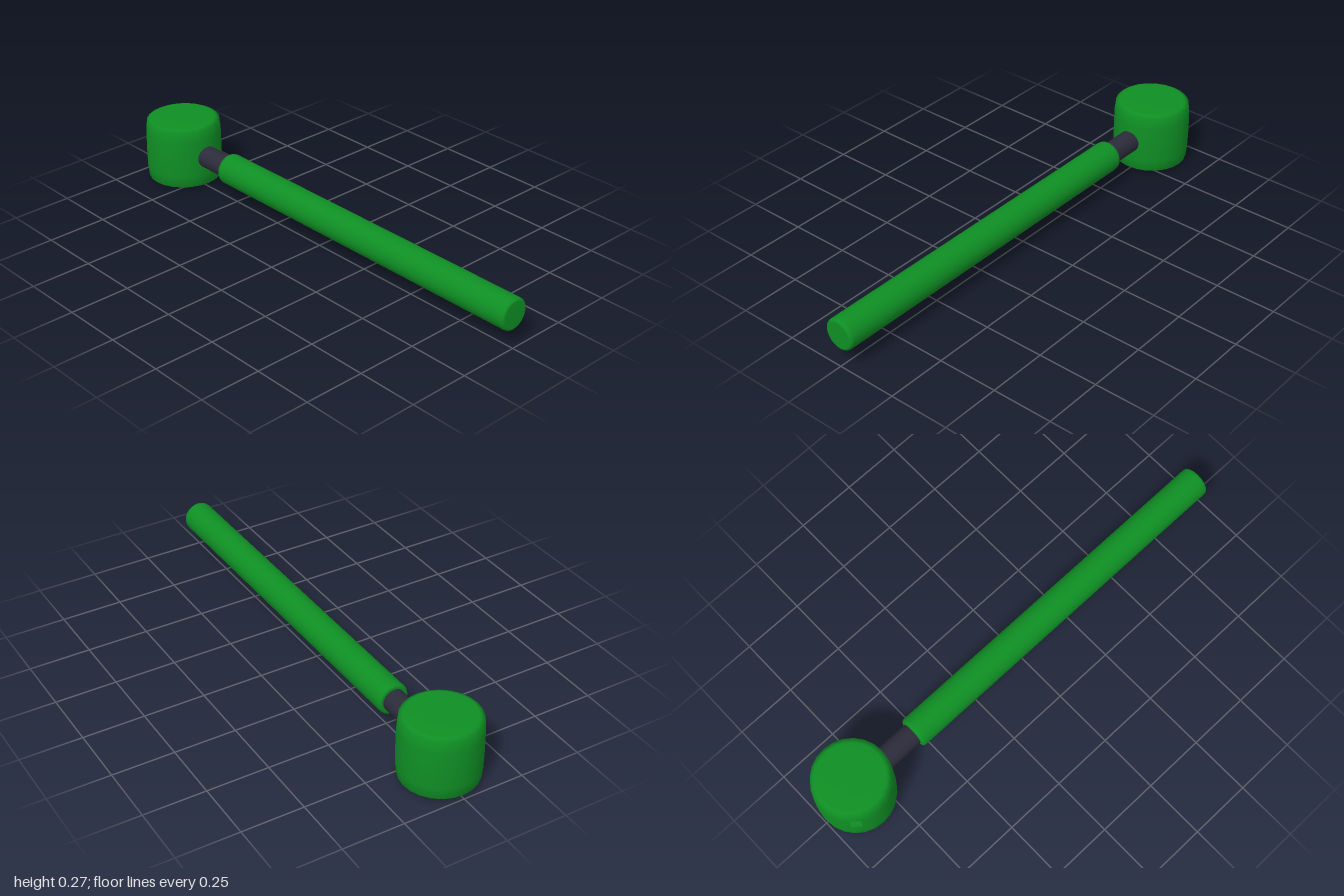
import * as THREE from 'three';

const green = new THREE.MeshStandardMaterial({ color: 0x0f8f24, side: THREE.DoubleSide });
green.name = 'green';
const charcoal = new THREE.MeshStandardMaterial({ color: 0x2b2b3a });
charcoal.name = 'charcoal';

const AXIS_Y = 0.138;
const HEAD_Z = -0.842;
const SEGMENTS = 24;

const lathe = (profile) =>
  new THREE.LatheGeometry(profile.map(([r, y]) => new THREE.Vector2(r, y)), SEGMENTS);

// Leaves out one panel of a lathe: column around the axis, row along the profile
function cutPanel(geometry, rows, column, row) {
  const index = Array.from(geometry.index.array);
  index.splice((column * rows + row) * 6, 6);
  geometry.setIndex(index);
  return geometry;
}

function addMesh(group, name, geometry, material) {
  const mesh = new THREE.Mesh(geometry, material);
  mesh.name = name;
  group.add(mesh);
  return mesh;
}

export function createModel() {
  const group = new THREE.Group();
  group.name = 'mallet';

  // Hollow, slightly barrel-shaped head with a small slot in its back
  const headProfile = [
    [0, 0], [0.08, 0.001], [0.13, 0.003], [0.137, 0.005], [0.152, 0.013], [0.157, 0.06],
    [0.158, 0.137],
    [0.157, 0.214], [0.152, 0.261], [0.137, 0.269], [0.13, 0.271], [0.08, 0.273], [0, 0.274],
  ];
  const headGeometry = cutPanel(lathe(headProfile), headProfile.length - 1, 15, 6);
  addMesh(group, 'head', headGeometry, green).position.z = HEAD_Z;

  // Rounded-end grip along z
  const grip = addMesh(group, 'grip', lathe([
    [0, -0.546], [0.052, -0.546], [0.056, -0.545], [0.0625, -0.541], [0.0645, -0.53], [0.0645, -0.5],
    [0.0645, 0.96], [0.0645, 0.985], [0.0625, 0.995], [0.056, 0.999], [0.052, 1], [0, 1],
  ]), green);

  // Neck running from the grip into the head
  const neck = addMesh(group, 'neck', new THREE.CylinderGeometry(0.046, 0.046, 0.32, SEGMENTS), charcoal);
  neck.position.z = -0.68;

  for (const part of [grip, neck]) {
    part.rotation.x = Math.PI / 2;
    part.position.y = AXIS_Y;
  }
  return group;
}
